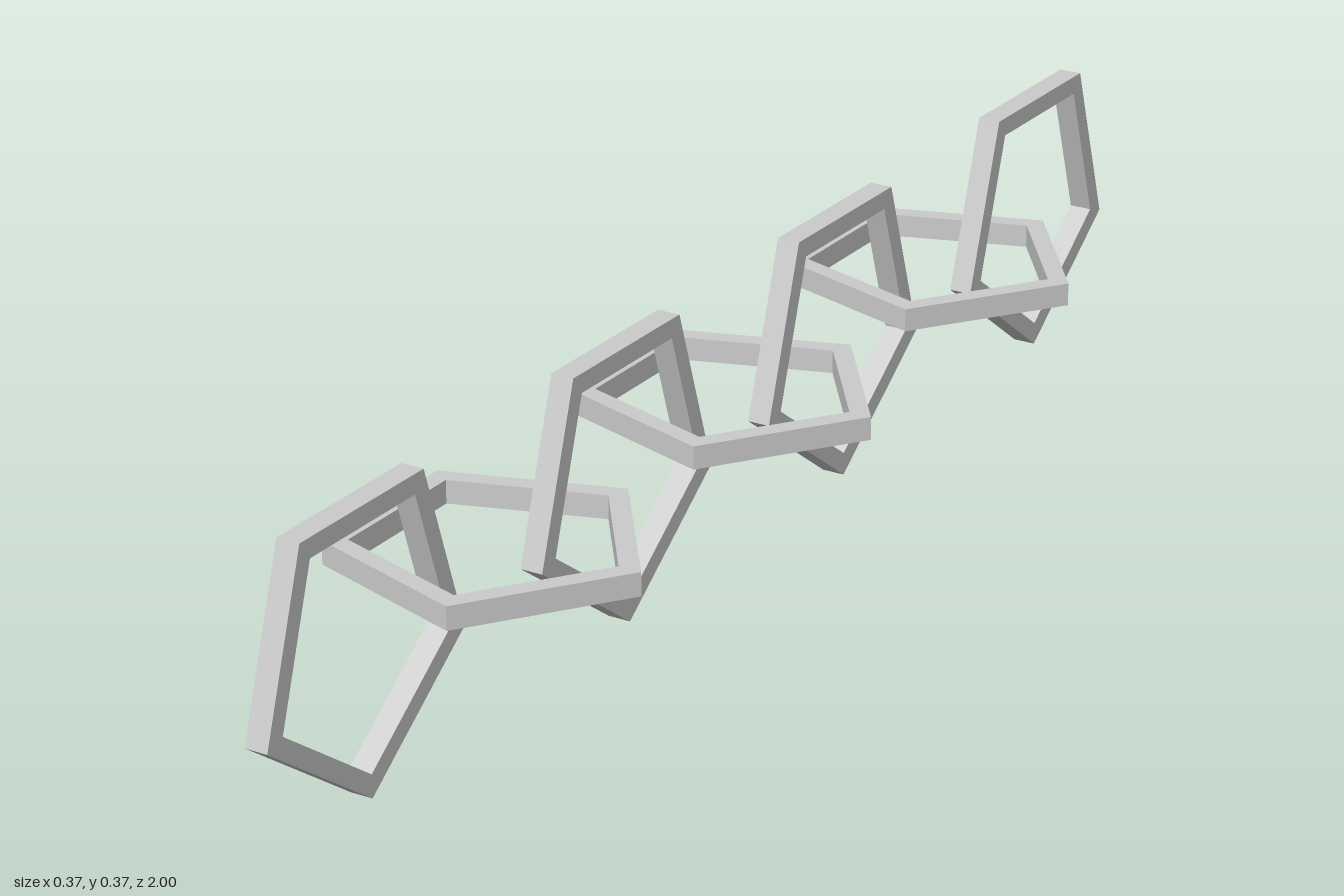
import * as THREE from 'three';

const RADIUS = 0.203, BAR = 0.031, CENTRE_X = -0.02, CENTRE_Y = 0.203;

// Corners of a regular pentagon with one corner on +x
function pentagon(radius) {
  return Array.from({ length: 5 }, (_, i) => {
    const a = (i * Math.PI * 2) / 5;
    return new THREE.Vector2(radius * Math.cos(a), radius * Math.sin(a));
  });
}

// Five-sided ring of square bar, lying in the XY plane
function linkGeometry() {
  const shape = new THREE.Shape(pentagon(RADIUS));
  shape.holes.push(new THREE.Path(pentagon(RADIUS - BAR).reverse()));
  const geometry = new THREE.ExtrudeGeometry(shape, { depth: BAR, bevelEnabled: false });
  return geometry.translate(0, 0, -BAR / 2);
}

export function createModel() {
  const chain = new THREE.Group();
  chain.name = 'chain';
  const material = new THREE.MeshStandardMaterial({ color: 0xcccccc, flatShading: true });

  // Upright links point a corner down, flat links point a corner to +x
  const upright = linkGeometry().rotateZ(-Math.PI / 2).rotateY(Math.PI / 2);
  const flat = linkGeometry().rotateX(Math.PI / 2);

  const addLinks = (name, geometry, positions) => positions.forEach((z, i) => {
    const link = new THREE.Mesh(geometry, material);
    link.name = name + (i + 1);
    link.position.set(CENTRE_X, CENTRE_Y, z);
    chain.add(link);
  });
  addLinks('uprightLink', upright, [0.807, 0.257, -0.27, -0.807]);
  addLinks('flatLink', flat, [0.525, -0.01, -0.54]);

  return chain;
}
